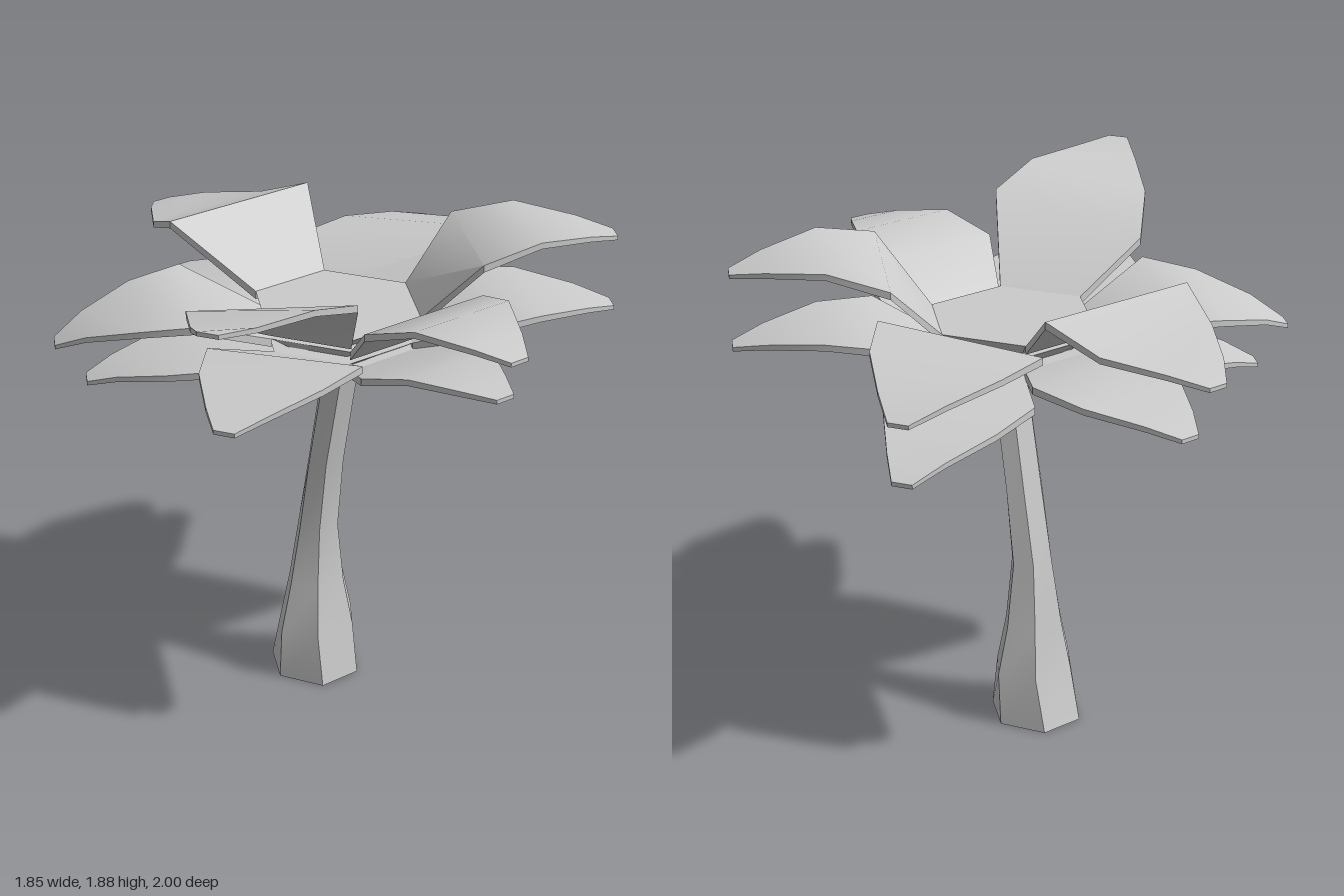
import * as THREE from 'three';
import { toCreasedNormals } from 'three/addons/utils/BufferGeometryUtils.js';

const CX = 0.042, CZ = 0.065; // crown centre
const HEX = Math.PI / 6;
const { lerp, degToRad } = THREE.MathUtils;
const material = new THREE.MeshStandardMaterial({ color: 0xcccccc });

function addMesh(parent, name, geometry, crease = 0.65) {
  const mesh = new THREE.Mesh(toCreasedNormals(geometry, crease), material);
  mesh.name = name;
  parent.add(mesh);
  return mesh;
}

// Leaning six-sided trunk; rings are [y, z centre, half width, half depth]
function makeTrunk(parent) {
  const rings = [
    [0, -0.065, 0.165, 0.155], [0.2, -0.053, 0.165, 0.113], [0.38, -0.053, 0.122, 0.085],
    [0.62, -0.043, 0.085, 0.062], [0.9, 0.003, 0.08, 0.05], [1.3, 0.085, 0.075, 0.052],
  ];
  const n = rings.length - 1;
  const geometry = new THREE.CylinderGeometry(1, 1, 1, 6, n, false, HEX);
  const p = geometry.attributes.position;
  for (let i = 0; i < p.count; i++) {
    const [y, z, w, d] = rings[Math.round((p.getY(i) + 0.5) * n)];
    p.setXYZ(i, CX + p.getX(i) * w, y, z + p.getZ(i) * d / Math.cos(HEX));
  }
  addMesh(parent, 'trunk', geometry, 0.5);
}

// Thin leaf along +z: widens from the hub, then tapers and bends to its tip
function makeLeaf(parent, hub, { angle, wideAt, halfWidth, reach, heights, tilt = 0 }) {
  const [wideY, midY, tipY] = heights;
  // Cross-sections are [distance, half width, top height, side tilt]
  const sections = [
    [hub.r * Math.cos(HEX), hub.r / 2, hub.y, 0],
    [wideAt, halfWidth, wideY, tilt],
    [lerp(wideAt, reach, 0.4), halfWidth * 0.79, midY, tilt * 0.65],
    [lerp(wideAt, reach, 0.78), halfWidth * 0.4, lerp(midY, tipY, 0.5), tilt * 0.3],
    [reach, 0.037, tipY, 0],
  ];
  const n = sections.length - 1;
  const geometry = new THREE.BoxGeometry(1, 1, 1, 1, 1, n);
  const p = geometry.attributes.position;
  for (let i = 0; i < p.count; i++) {
    const k = Math.round((p.getZ(i) + 0.5) * n);
    const [d, w, top, lift] = sections[k];
    const side = Math.sign(p.getX(i));
    const thickness = 0.03 - 0.015 * k / n;
    p.setXYZ(i, side * w, top + side * lift - (p.getY(i) < 0 ? thickness : 0), d);
  }
  addMesh(parent, 'leaf', geometry).rotation.y = degToRad(angle);
}

// One crown tier: a hexagonal funnel with a leaf on three of its flat sides
function makeTier(parent, name, hub, leaves) {
  const tier = new THREE.Group();
  tier.name = name;
  tier.position.set(CX, 0, CZ);
  parent.add(tier);

  const { r, y, footR, footY } = hub;
  const funnel = new THREE.CylinderGeometry(r, footR, y - footY, 6, 1, false, HEX);
  funnel.translate(0, (y + footY) / 2, 0);
  addMesh(tier, 'hub', funnel);

  for (const leaf of leaves) makeLeaf(tier, hub, leaf);
}

export function createModel() {
  const model = new THREE.Group();
  model.name = 'palmTree';
  makeTrunk(model);

  makeTier(model, 'topTier', { r: 0.31, y: 1.53, footR: 0.13, footY: 1.4 }, [
    { angle: -60, wideAt: 0.55, halfWidth: 0.285, reach: 1.1, heights: [1.74, 1.825, 1.885], tilt: 0.06 },
    { angle: 60, wideAt: 0.455, halfWidth: 0.287, reach: 0.985, heights: [1.755, 1.805, 1.745], tilt: -0.015 },
    { angle: 180, wideAt: 0.565, halfWidth: 0.31, reach: 1.065, heights: [1.74, 1.66, 1.595] },
  ]);
  makeTier(model, 'upperTier', { r: 0.29, y: 1.48, footR: 0.12, footY: 1.36 }, [
    { angle: 0, wideAt: 0.465, halfWidth: 0.26, reach: 0.935, heights: [1.655, 1.715, 1.66] },
    { angle: 120, wideAt: 0.48, halfWidth: 0.3, reach: 0.99, heights: [1.61, 1.59, 1.5], tilt: -0.025 },
    { angle: -120, wideAt: 0.525, halfWidth: 0.312, reach: 0.99, heights: [1.6, 1.57, 1.455], tilt: 0.015 },
  ]);
  makeTier(model, 'middleTier', { r: 0.28, y: 1.43, footR: 0.11, footY: 1.32 }, [
    { angle: -60, wideAt: 0.49, halfWidth: 0.28, reach: 0.99, heights: [1.54, 1.54, 1.495], tilt: 0.015 },
    { angle: 60, wideAt: 0.47, halfWidth: 0.28, reach: 0.985, heights: [1.53, 1.54, 1.48] },
    { angle: 180, wideAt: 0.45, halfWidth: 0.27, reach: 0.94, heights: [1.465, 1.435, 1.375] },
  ]);
  makeTier(model, 'lowerTier', { r: 0.29, y: 1.41, footR: 0.078, footY: 1.27 }, [
    { angle: 0, wideAt: 0.42, halfWidth: 0.235, reach: 0.875, heights: [1.47, 1.52, 1.505] },
    { angle: 120, wideAt: 0.45, halfWidth: 0.26, reach: 0.97, heights: [1.405, 1.375, 1.285], tilt: -0.015 },
    { angle: -120, wideAt: 0.45, halfWidth: 0.255, reach: 0.885, heights: [1.41, 1.385, 1.31], tilt: 0.01 },
  ]);
  return model;
}
